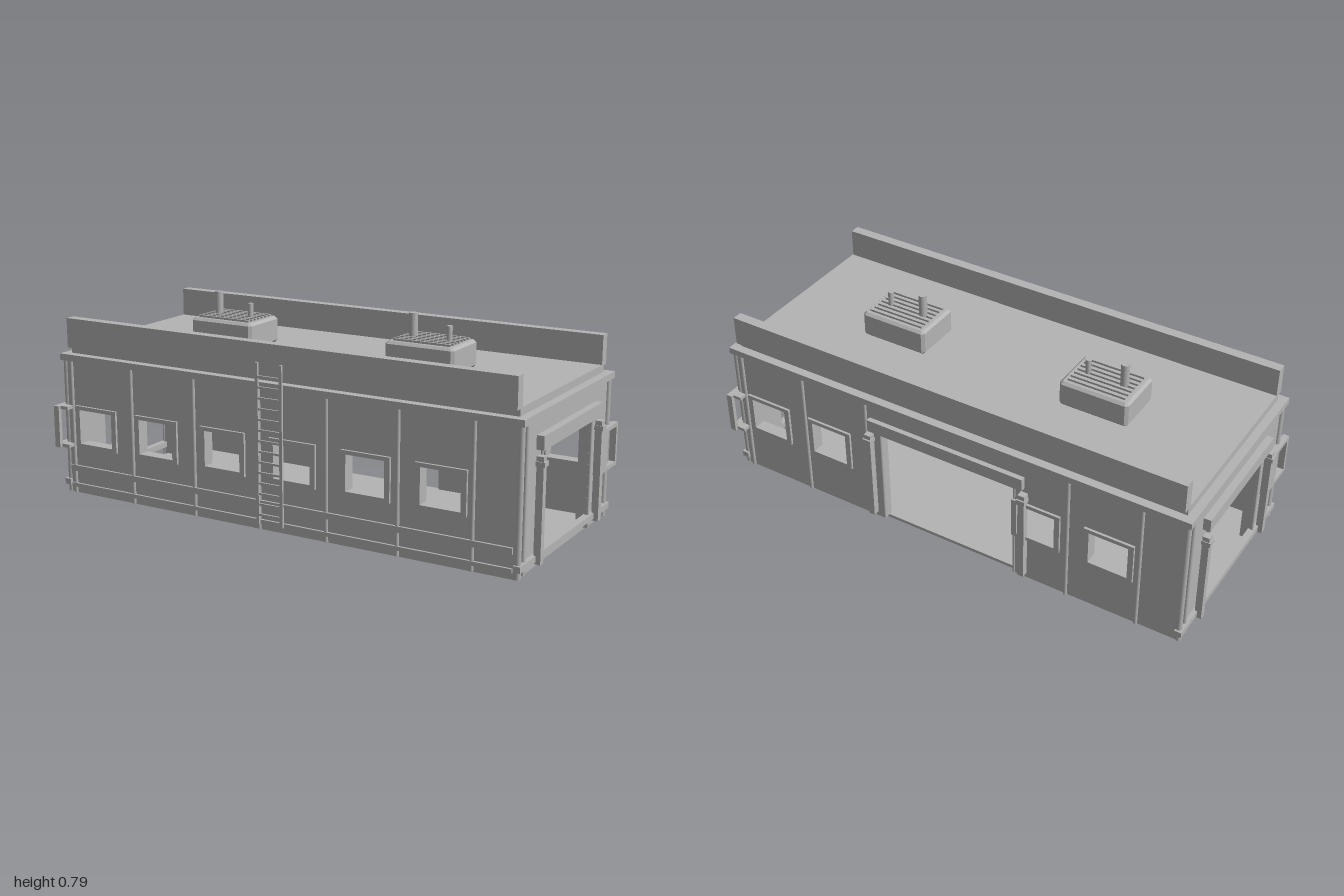
import * as THREE from 'three';

const gray = new THREE.MeshStandardMaterial({ color: 0xb4b4b4 });
gray.name = 'plain gray';

function add(parent, name, geometry, x = 0, y = 0, z = 0) {
  const mesh = new THREE.Mesh(geometry, gray);
  mesh.name = name;
  mesh.position.set(x, y, z);
  parent.add(mesh);
  return mesh;
}

// Box given by its lower and upper bounds on each axis
function box(parent, name, x0, x1, y0, y1, z0, z1) {
  return add(parent, name, new THREE.BoxGeometry(x1 - x0, y1 - y0, z1 - z0),
    (x0 + x1) / 2, (y0 + y1) / 2, (z0 + z1) / 2);
}

function pipe(parent, name, x, z, y0, y1, r, sides = 12) {
  return add(parent, name, new THREE.CylinderGeometry(r, r, y1 - y0, sides), x, (y0 + y1) / 2, z);
}

function rect(x0, x1, y0, y1, Type = THREE.Path) {
  const p = new Type();
  p.moveTo(x0, y0);
  p.lineTo(x1, y0);
  p.lineTo(x1, y1);
  p.lineTo(x0, y1);
  p.closePath();
  return p;
}

const extrude = (shape, depth) => new THREE.ExtrudeGeometry(shape, { depth, bevelEnabled: false });

function ring(parent, name, outer, inner, z0, z1) {
  const s = rect(...outer, THREE.Shape);
  s.holes.push(rect(...inner));
  return add(parent, name, extrude(s, z1 - z0), 0, 0, z0);
}

// Wall facing local +z, with window holes and an optional doorway
function wall(parent, half, face, windows, door) {
  const s = new THREE.Shape();
  s.moveTo(-half, 0.012);
  if (door) {
    s.lineTo(-door, 0.012);
    s.lineTo(-door, 0.43);
    s.lineTo(door, 0.43);
    s.lineTo(door, 0.012);
  }
  s.lineTo(half, 0.012);
  s.lineTo(half, 0.565);
  s.lineTo(-half, 0.565);
  s.closePath();
  for (const x of windows) s.holes.push(rect(x - 0.077, x + 0.077, 0.215, 0.35));
  add(parent, 'wall', extrude(s, 0.04), 0, 0, face - 0.04);
  for (const x of windows) {
    ring(parent, 'windowFrame', [x - 0.098, x + 0.098, 0.2, 0.365],
      [x - 0.077, x + 0.077, 0.215, 0.35], face - 0.01, face + 0.01);
  }
}

// Lintel, jamb pipes and free-standing posts around a doorway
function doorTrim(parent, half, face) {
  box(parent, 'lintel', -half - 0.045, half + 0.045, 0.43, 0.48, face - 0.01, face + 0.02);
  for (const s of [-1, 1]) {
    pipe(parent, 'doorJamb', s * (half + 0.003), face - 0.003, 0.012, 0.43, 0.006, 8);
    const x = s * (half + 0.045);
    box(parent, 'doorPost', x - 0.013, x + 0.013, 0.033, 0.38, face, face + 0.026);
    box(parent, 'postCollar', x - 0.017, x + 0.017, 0.377, 0.394, face - 0.002, face + 0.032);
    box(parent, 'postCap', x - 0.014, x + 0.014, 0.394, 0.412, face, face + 0.026);
  }
}

function side(parent, name, angle) {
  const g = new THREE.Group();
  g.name = name;
  g.rotation.y = angle;
  parent.add(g);
  return g;
}

// Long wall with vertical ribs and top rail
function longSide(parent, name, angle, windows, door) {
  const g = side(parent, name, angle);
  wall(g, 0.955, 0.395, windows, door);
  for (const x of [-0.925, -0.638, -0.35, -0.063, 0.22, 0.505, 0.79]) {
    if (door && Math.abs(x) < door) continue;
    pipe(g, 'wallRib', x, 0.395, 0.012, 0.54, 0.008, 8);
  }
  box(g, 'topRail', -0.972, 0.972, 0.54, 0.565, 0.385, 0.406);
  return g;
}

// Rooftop cooling unit: chamfered housing, slats and two stacks
function roofUnit(parent, x) {
  const g = new THREE.Group();
  g.name = 'roofUnit';
  g.position.set(x, 0.594, 0);
  parent.add(g);
  const w = 0.138, d = 0.1, c = 0.011;
  const s = new THREE.Shape();
  [[-w + c, -d], [w - c, -d], [w, -d + c], [w, d - c], [w - c, d], [-w + c, d], [-w, d - c], [-w, -d + c]]
    .forEach(([px, py], i) => (i ? s.lineTo(px, py) : s.moveTo(px, py)));
  const housing = new THREE.ExtrudeGeometry(s, {
    depth: 0.082, bevelThickness: 0.01, bevelSize: 0.01, bevelOffset: -0.01, bevelSegments: 1,
  });
  housing.rotateX(-Math.PI / 2);
  add(g, 'unitHousing', housing, 0, 0.01, 0);
  for (let i = 0; i < 7; i++) {
    const z = -0.072 + i * 0.024;
    box(g, 'unitSlat', -0.115, 0.115, 0.1, 0.11, z - 0.005, z + 0.005);
  }
  pipe(g, 'tallStack', -0.073, 0, 0.1, 0.195, 0.016);
  pipe(g, 'shortStack', 0.073, 0, 0.1, 0.161, 0.011);
}

export function createModel() {
  const model = new THREE.Group();
  model.name = 'modularBuilding';

  // Floor, roof and parapets
  box(model, 'floor', -0.94, 0.94, 0, 0.013, -0.37, 0.37);
  box(model, 'roof', -0.94, 0.94, 0.54, 0.594, -0.372, 0.372);
  for (const s of [-1, 1]) {
    const z = s * 0.375;
    box(model, 'parapet', -0.94, 0.94, 0.59, 0.705, z - 0.02, z + 0.02);
  }

  // Front wall with low rails and a ladder
  const front = longSide(model, 'frontSide', 0, [-0.81, -0.523, -0.22, 0.08, 0.38, 0.672], 0);
  box(front, 'lowerRail', -0.94, 0.94, 0.1, 0.123, 0.39, 0.404);
  box(front, 'baseRail', -0.94, 0.94, 0.035, 0.05, 0.39, 0.404);
  const ladder = new THREE.Group();
  ladder.name = 'ladder';
  front.add(ladder);
  for (const x of [-0.053, 0.048]) box(ladder, 'ladderRail', x - 0.006, x + 0.006, 0.04, 0.64, 0.415, 0.424);
  for (let i = 0; i < 14; i++) {
    const y = 0.075 + i * 0.0395;
    box(ladder, 'ladderRung', -0.05, 0.045, y - 0.004, y + 0.004, 0.416, 0.423);
  }

  // Back wall with a wide doorway
  const back = longSide(model, 'backSide', Math.PI, [-0.81, -0.523, 0.38, 0.672], 0.285);
  doorTrim(back, 0.285, 0.395);

  // Matching end walls
  for (const s of [1, -1]) {
    const end = side(model, s > 0 ? 'leftEnd' : 'rightEnd', s * Math.PI / 2);
    wall(end, 0.355, 0.955, [], 0.22);
    doorTrim(end, 0.22, 0.963);
    box(end, 'topRail', -0.406, 0.406, 0.54, 0.565, 0.945, 0.972);
    box(end, 'sillBar', -0.406, 0.406, 0.04, 0.063, 0.945, 0.972);
    pipe(end, 'endRib', -0.35, 0.957, 0.015, 0.54, 0.009, 8);
    for (const c of [-1, 1]) pipe(end, 'cornerPipe', c * 0.387, 0.955, 0.012, 0.54, 0.012, 8);
    // Window frame standing past the corner
    ring(end, 'cornerFrame', [0.27, 0.447, 0.2, 0.365], [0.345, 0.432, 0.215, 0.35], 0.955, 0.979);
    box(end, 'cornerFrameReturn', 0.405, 0.435, 0.2, 0.213, 0.92, 0.957);
    box(end, 'cornerFrameReturn', 0.405, 0.435, 0.352, 0.365, 0.92, 0.957);
  }

  for (const x of [-0.43, 0.423]) roofUnit(model, x);
  return model;
}
